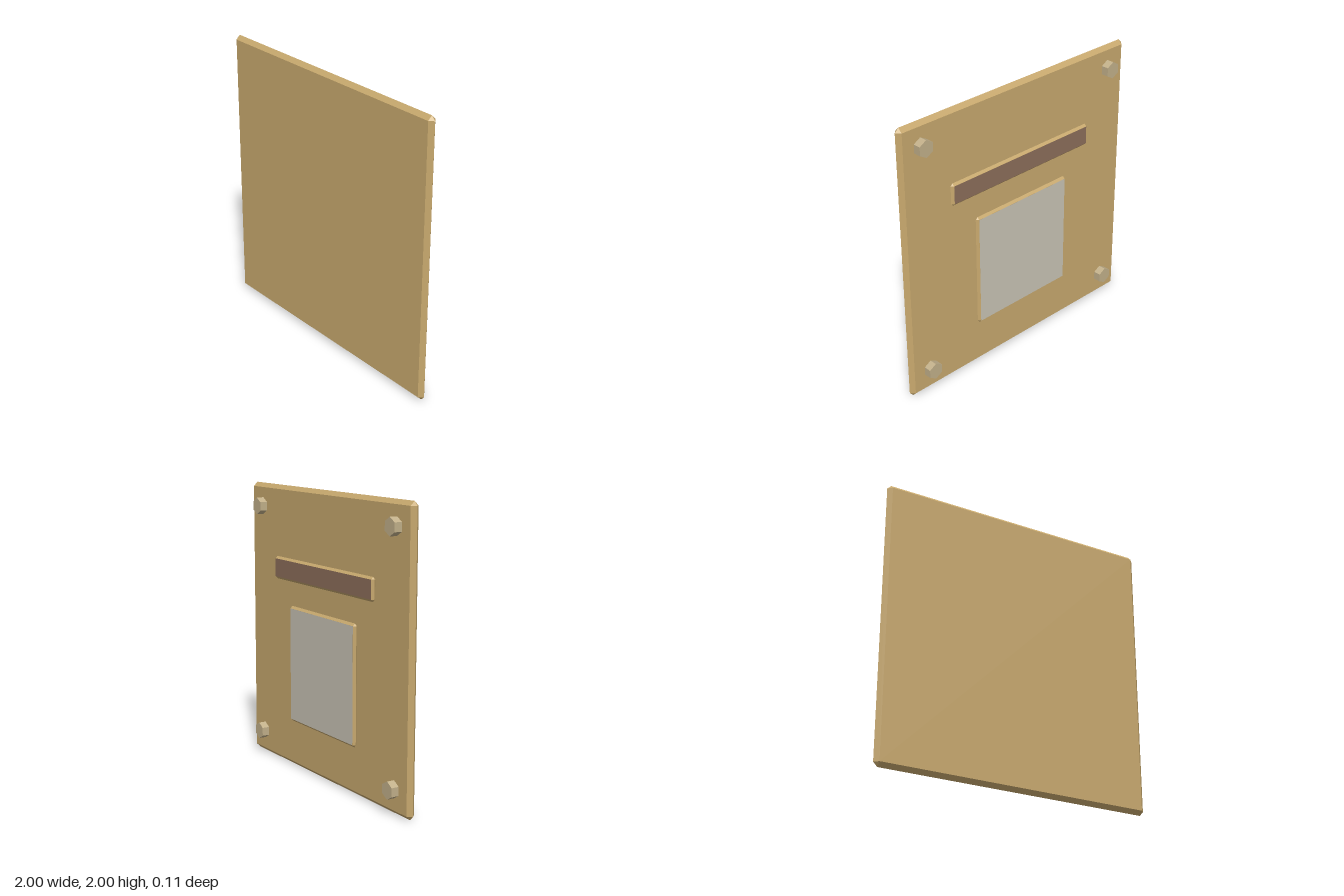
import * as THREE from 'three';
import { ConvexGeometry } from 'three/addons/geometries/ConvexGeometry.js';

const mat = (name, color) => {
  const m = new THREE.MeshStandardMaterial({ color });
  m.name = name;
  return m;
};

// Square-cornered slab whose rim is chamfered to a sharp edge halfway through its depth
function bevelledSlab(w, h, depth) {
  const b = depth / 2;
  const points = [];
  for (const sx of [-1, 1]) for (const sy of [-1, 1]) {
    const x = sx * w / 2, y = sy * h / 2, xi = x - sx * b, yi = y - sy * b;
    points.push(
      new THREE.Vector3(xi, yi, b), new THREE.Vector3(xi, yi, -b),
      new THREE.Vector3(x, yi, 0), new THREE.Vector3(xi, y, 0));
  }
  return new ConvexGeometry(points);
}

export function createModel() {
  const root = new THREE.Group();
  root.name = 'wallPanel';

  const tan = mat('tan', 0xc8a96e);
  const grey = mat('warmGrey', 0xc9c4b6);
  const brown = mat('brown', 0x8d6e5b);
  const bolt = mat('boltBeige', 0xc2b08a);

  const add = (name, geometry, material, x, y, z, parent = root) => {
    const mesh = new THREE.Mesh(geometry, material);
    mesh.name = name;
    mesh.position.set(x, y, z);
    parent.add(mesh);
    return mesh;
  };

  // Main board
  add('board', bevelledSlab(2, 2, 0.058), tan, 0, 1, 0.027);

  // Raised panels on the back, each with a coloured face
  const raisedPanel = (name, w, h, y, faceMaterial) => {
    const depth = 0.032;
    const group = new THREE.Group();
    group.name = name;
    group.position.set(0, y, -0.018);
    add(name + 'Frame', bevelledSlab(w, h, depth), tan, 0, 0, 0, group);
    const face = new THREE.PlaneGeometry(w - depth, h - depth).rotateY(Math.PI);
    add(name + 'Face', face, faceMaterial, 0, 0, -depth / 2 - 0.001, group);
    root.add(group);
  };
  raisedPanel('squarePanel', 0.83, 0.83, 0.755, grey);
  raisedPanel('barPanel', 1.24, 0.16, 1.42, brown);

  // Hexagonal bolts at the back corners
  const hex = new THREE.CylinderGeometry(0.06, 0.06, 0.055, 6).toNonIndexed();
  hex.rotateX(Math.PI / 2);
  hex.computeVertexNormals();
  for (const x of [-0.832, 0.832])
    for (const y of [0.17, 1.838]) add('bolt', hex, bolt, x, y, -0.0285);

  return root;
}
